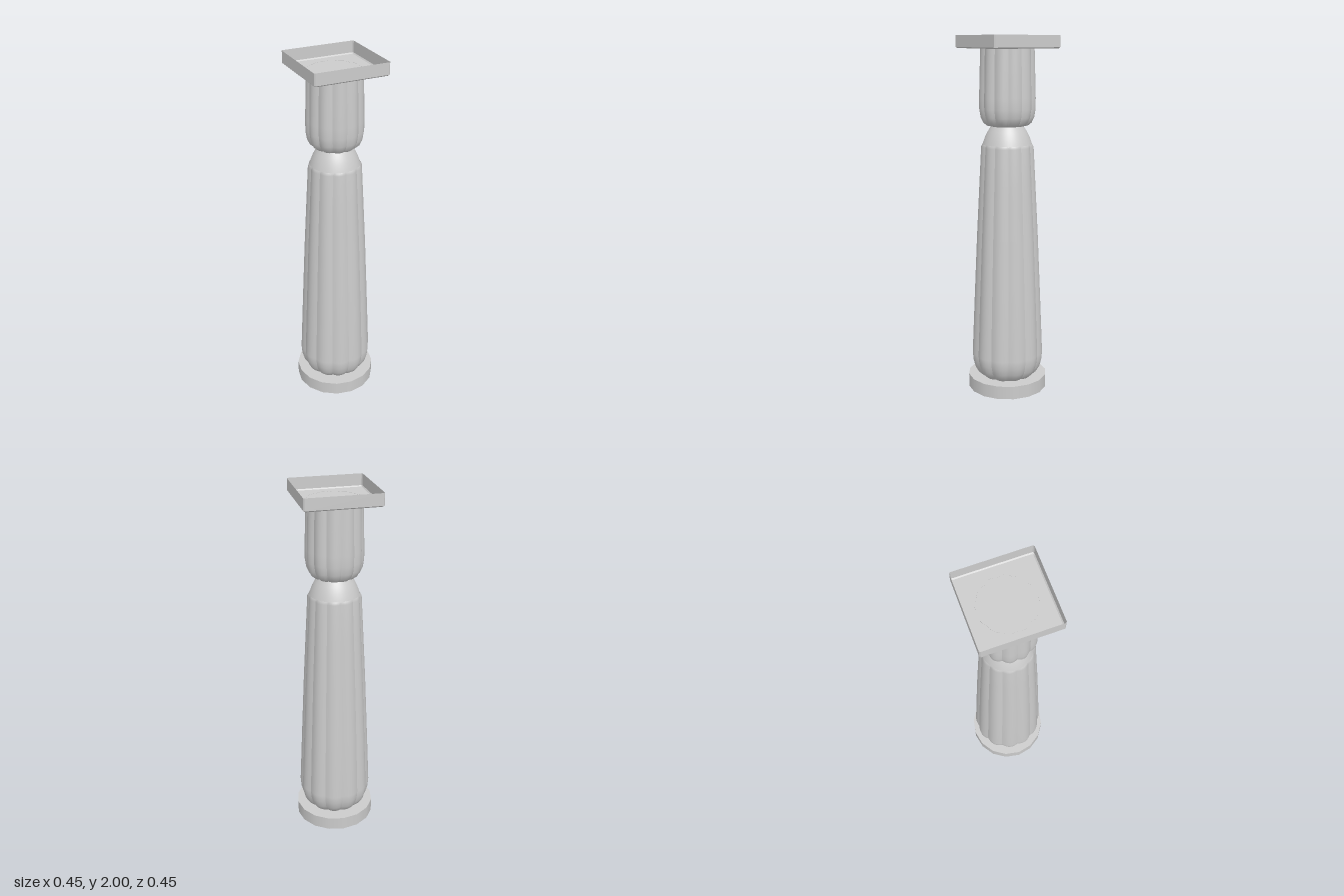
import * as THREE from 'three';

const material = new THREE.MeshStandardMaterial({ color: 0xcccccc, side: THREE.DoubleSide });
const flatMaterial = new THREE.MeshStandardMaterial({ color: 0xcccccc, side: THREE.DoubleSide, flatShading: true });

const LOBES = 12;
const STEPS = 6; // segments across one lobe

function addMesh(group, name, geometry, mat = material) {
  const mesh = new THREE.Mesh(geometry, mat);
  mesh.name = name;
  group.add(mesh);
  return mesh;
}

// Skin a grid of points: rows run upward, columns run from +z toward +x.
function skin(rows, columns, pointAt, target = { positions: [], indices: [] }) {
  const start = target.positions.length / 3;
  for (let i = 0; i < rows; i++) {
    for (let j = 0; j < columns; j++) target.positions.push(...pointAt(i, j));
  }
  for (let i = 0; i < rows - 1; i++) {
    for (let j = 0; j < columns - 1; j++) {
      const a = start + i * columns + j, b = a + 1, c = a + columns, d = c + 1;
      target.indices.push(a, b, d, a, d, c);
    }
  }
  return target;
}

function toGeometry({ positions, indices }) {
  const geometry = new THREE.BufferGeometry();
  geometry.setAttribute('position', new THREE.Float32BufferAttribute(positions, 3));
  geometry.setIndex(indices);
  geometry.computeVertexNormals();
  return geometry;
}

// Lobed turning: profile rows are [radius, y, groove depth as a fraction].
// Each lobe has its own vertices, so the grooves between lobes stay sharp.
function lobedGeometry(profile) {
  const target = { positions: [], indices: [] };
  for (let k = 0; k < LOBES; k++) {
    skin(profile.length, STEPS + 1, (i, j) => {
      const [radius, y, depth] = profile[i];
      const t = j / STEPS;
      const angle = ((k + t) / LOBES) * Math.PI * 2;
      const r = radius * (1 - depth * (1 - Math.sin(Math.PI * t)));
      return [r * Math.sin(angle), y, r * Math.cos(angle)];
    }, target);
  }
  return toGeometry(target);
}

// Square outline with small chamfered corners.
function squareOutline(h, chamfer) {
  const k = h - chamfer;
  return [[-k, h], [k, h], [h, k], [h, -k], [k, -h], [-k, -h], [-h, -k], [-h, k]];
}

export function createModel() {
  const model = new THREE.Group();
  model.name = 'column';

  // Round base, open underneath
  const base = new THREE.Group();
  base.name = 'base';
  model.add(base);
  addMesh(base, 'baseRim', new THREE.CylinderGeometry(0.225, 0.225, 0.075, 16, 1, true)).position.y = 0.0375;
  const baseTop = addMesh(base, 'baseTop', new THREE.CircleGeometry(0.225, 16));
  baseTop.rotation.x = -Math.PI / 2;
  baseTop.position.y = 0.075;

  // Tapering lobed shaft
  addMesh(model, 'shaft', lobedGeometry([
    [0.15, 0.075, 0.07],
    [0.172, 0.095, 0.07],
    [0.19, 0.125, 0.065],
    [0.201, 0.165, 0.06],
    [0.205, 0.21, 0.055],
    [0.19, 0.55, 0.05],
    [0.174, 0.9, 0.05],
    [0.158, 1.2, 0.05],
    [0.147, 1.4, 0.05],
    [0.138, 1.415, 0.015],
  ]));

  // Smooth neck above the shaft
  const neckProfile = [[0.138, 1.41], [0.133, 1.425], [0.122, 1.455], [0.107, 1.485], [0.094, 1.505], [0.088, 1.515]];
  addMesh(model, 'neck', new THREE.LatheGeometry(neckProfile.map(([r, y]) => new THREE.Vector2(r, y)), 48));

  // Lobed capital
  addMesh(model, 'capital', lobedGeometry([
    [0.085, 1.512, 0.06],
    [0.115, 1.518, 0.08],
    [0.136, 1.535, 0.08],
    [0.15, 1.565, 0.075],
    [0.157, 1.61, 0.07],
    [0.157, 1.67, 0.07],
    [0.153, 1.8, 0.065],
    [0.149, 1.931, 0.06],
  ]));

  // Square tray on top: floor, small bevel and thin upright walls
  const tray = new THREE.Group();
  tray.name = 'tray';
  model.add(tray);
  const trayRows = [[0.2, 1.93], [0.206, 1.936], [0.206, 2]];
  addMesh(tray, 'trayWalls', toGeometry(skin(3, 9, (i, j) => {
    const [h, y] = trayRows[i];
    const [x, z] = squareOutline(h, 0.006)[j % 8];
    return [x, y, z];
  })), flatMaterial);
  const floorShape = new THREE.Shape(squareOutline(0.2, 0.006).map(([x, y]) => new THREE.Vector2(x, y)));
  const trayFloor = addMesh(tray, 'trayFloor', new THREE.ShapeGeometry(floorShape));
  trayFloor.rotation.x = -Math.PI / 2;
  trayFloor.position.y = 1.93;

  return model;
}
